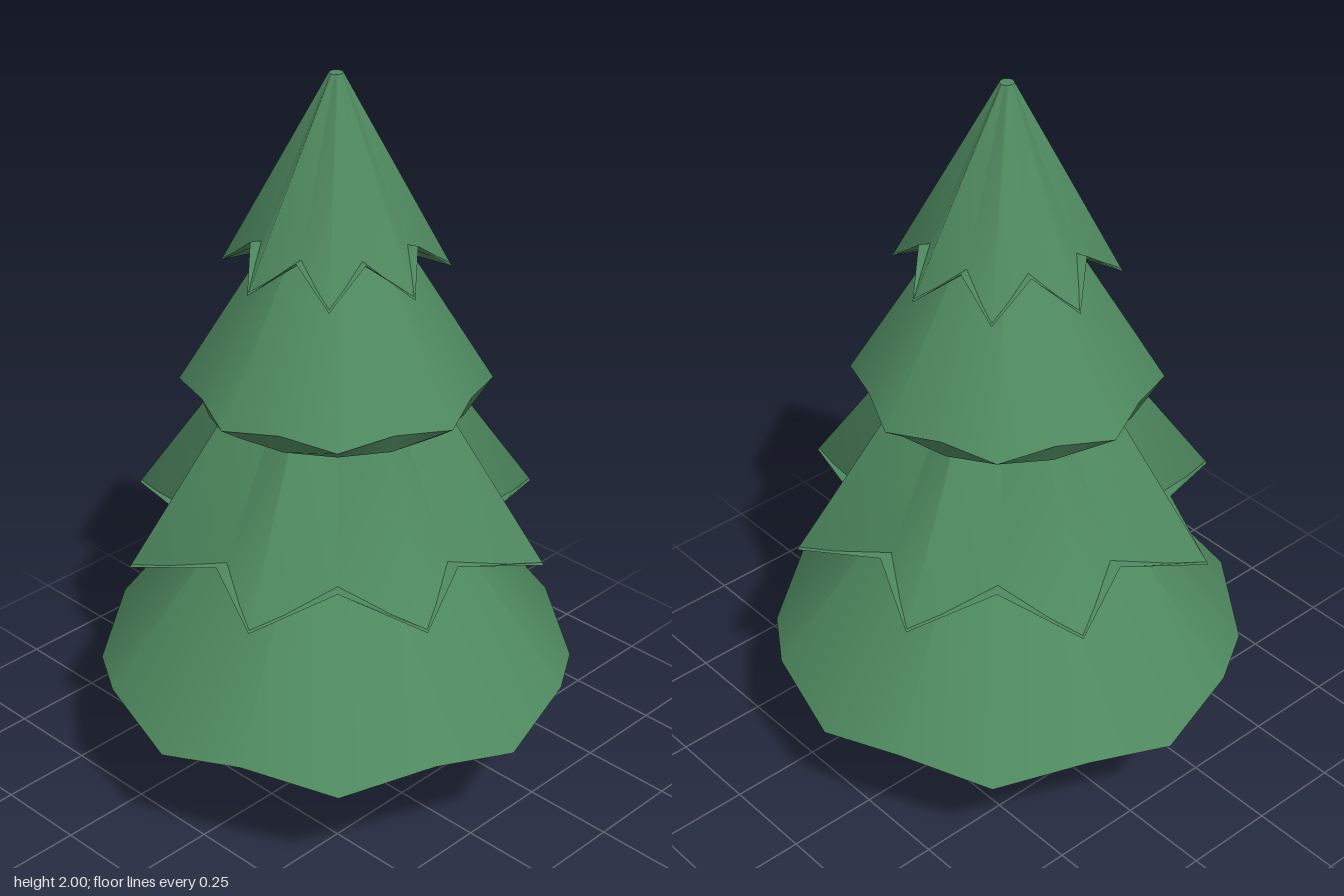
import * as THREE from 'three';

const POINTS = 8; // branch tips per tier
const SIDES = POINTS * 2;

// Closed ring alternating between tip and notch: [radius, height] each
function ring(tip, notch, turn) {
  return Array.from({ length: SIDES }, (_, i) => {
    const a = (i * Math.PI) / POINTS + turn;
    const [r, y] = i % 2 ? notch : tip;
    return [r * Math.sin(a), y, r * Math.cos(a)];
  });
}

// Smooth skin over rings listed from the underside upward
function loft(rings) {
  const index = [];
  for (let k = 0; k < rings.length - 1; k++) {
    for (let i = 0; i < SIDES; i++) {
      const j = (i + 1) % SIDES;
      const a = k * SIDES + i, b = k * SIDES + j;
      index.push(a, b, b + SIDES, a, b + SIDES, a + SIDES);
    }
  }
  const geometry = new THREE.BufferGeometry();
  geometry.setAttribute('position', new THREE.Float32BufferAttribute(rings.flat(2), 3));
  geometry.setIndex(index);
  geometry.computeVertexNormals();
  return geometry;
}

export function createModel() {
  const green = new THREE.MeshStandardMaterial({ color: 0x4f8a60, side: THREE.DoubleSide });
  green.name = 'needle green';
  const brown = new THREE.MeshStandardMaterial({ color: 0x7a5a47 });
  brown.name = 'bark brown';

  const tree = new THREE.Group();
  tree.name = 'pineTree';
  const add = (parent, name, geometry, material) => {
    const mesh = new THREE.Mesh(geometry, material);
    mesh.name = name;
    parent.add(mesh);
    return mesh;
  };

  // Tapered trunk, running up inside the lowest tier
  add(tree, 'trunk', new THREE.CylinderGeometry(0.065, 0.1, 0.46, 12), brown).position.y = 0.23;

  // Tiers from bottom to top; lip is how far the notches flare outward,
  // hem is an optional tucked-in lower edge
  const tiers = [
    { name: 'bottomTier', tip: [0.635, 0.33], notch: [0.635, 0.39], top: [0.02, 1.2], core: 0.37, turn: 0, lip: 0 },
    { name: 'lowerTier', tip: [0.572, 0.75], notch: [0.43, 0.8], top: [0.02, 1.55], core: 0.8, turn: Math.PI / 8, lip: 0.03 },
    { name: 'upperTier', tip: [0.4, 1.18], notch: [0.365, 1.195], top: [0.02, 1.8], core: 1.14, turn: 0, lip: 0, hem: [0.345, 1.14] },
    { name: 'crownTier', tip: [0.287, 1.5], notch: [0.222, 1.59], top: [0.018, 2], core: 1.58, turn: -0.07, lip: 0.025 },
  ];

  for (const { name, tip, notch, top, core, turn, lip, hem } of tiers) {
    const tier = new THREE.Group();
    tier.name = name;
    tree.add(tier);

    const rim = ring(tip, notch, turn);
    const foot = lip
      ? ring([tip[0] - 0.004, tip[1] + 0.008], [notch[0] - lip, notch[1] - lip * 0.4], turn)
      : rim;
    const peak = ring(top, top, turn);

    add(tier, 'branches', loft([foot, peak]), green);
    add(tier, 'peak', loft([peak, ring([0, top[1]], [0, top[1]], turn)]), green);
    if (lip) add(tier, 'lip', loft([rim, foot]), green);

    // Underside, joined to the rim directly or through the hem
    const centre = ring([0, core], [0, core], turn);
    const edge = hem ? ring(hem, hem, turn) : rim;
    if (hem) add(tier, 'hem', loft([edge, rim]), green);
    add(tier, 'underside', loft([centre, edge]), green);
  }
  return tree;
}
